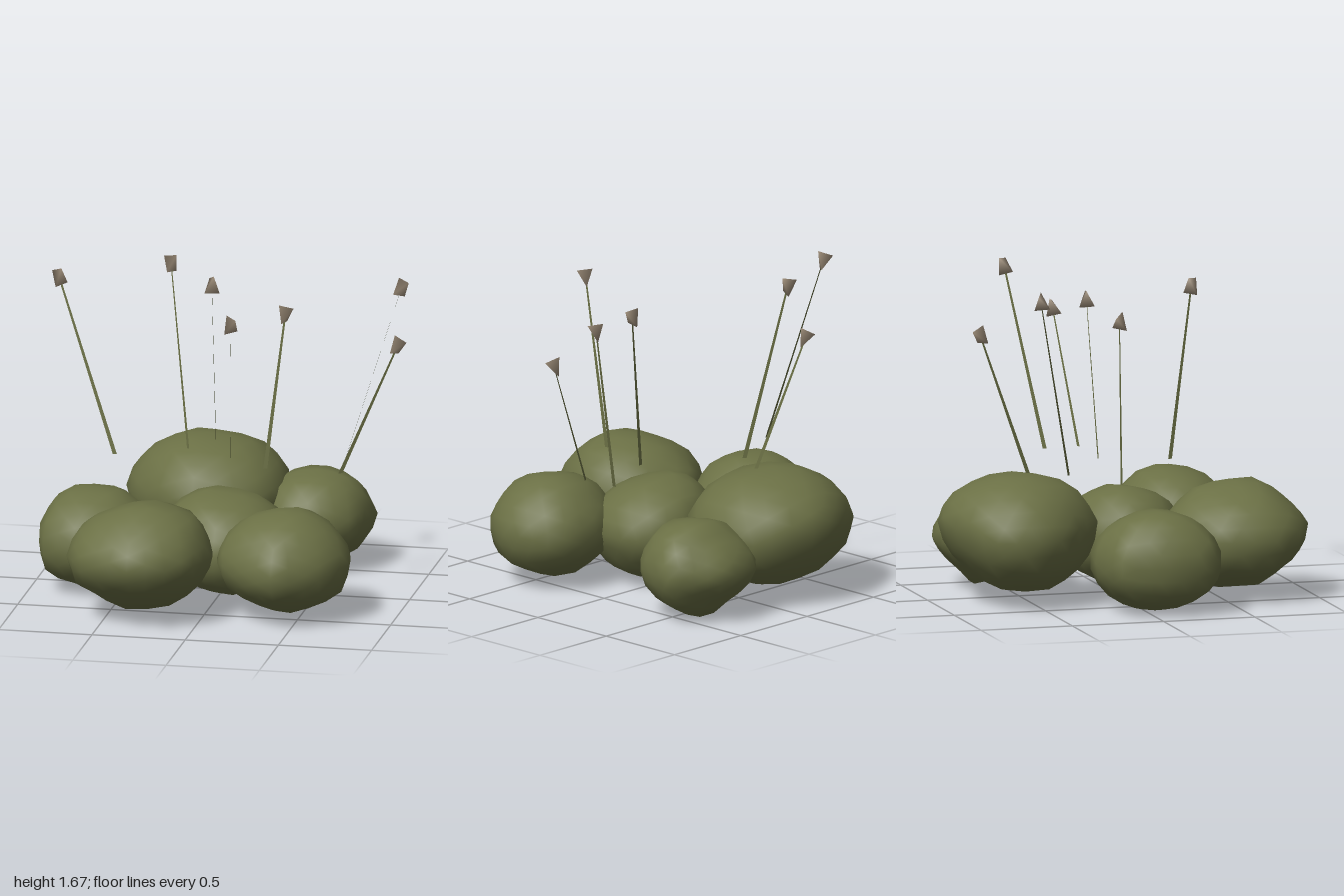
import * as THREE from 'three';
import { mergeVertices } from 'three/addons/utils/BufferGeometryUtils.js';

const moss = new THREE.MeshStandardMaterial({ color: 0x6b7045 });
const stalkGreen = new THREE.MeshStandardMaterial({ color: 0x6b7045, side: THREE.DoubleSide });
const budTan = new THREE.MeshStandardMaterial({ color: 0x9c8c78 });

// Cushion outlines: plan is (x, z), front is (x, y), side is (z, y)
const backCushion = {
  plan: [[-0.12, -1], [0.2, -0.86], [0.25, -0.62], [0.22, -0.38], [0.12, -0.2],
    [-0.28, -0.12], [-0.53, -0.4], [-0.65, -0.6], [-0.56, -0.82]],
  front: [[-0.65, 0.42], [-0.51, 0.6], [-0.29, 0.71], [0.05, 0.67], [0.2, 0.53],
    [0.25, 0.42], [0.2, 0.2], [-0.05, 0.07], [-0.4, 0.08], [-0.6, 0.22]],
  side: [[-0.14, 0.44], [-0.23, 0.58], [-0.34, 0.66], [-0.6, 0.71], [-0.86, 0.635],
    [-1, 0.48], [-0.88, 0.28], [-0.72, 0.1], [-0.45, 0.07], [-0.22, 0.2]],
};
const backLeftCushion = {
  plan: [[0.19, -0.85], [0.44, -0.87], [0.7, -0.65], [0.63, -0.39], [0.44, -0.25],
    [0.22, -0.28], [0.1, -0.45], [0.08, -0.68]],
  side: [[-0.24, 0.33], [-0.39, 0.5], [-0.63, 0.545], [-0.77, 0.41], [-0.86, 0.28],
    [-0.65, 0.02], [-0.45, 0.06], [-0.26, 0.16]],
};
const rightCushion = {
  plan: [[-0.32, 0], [-0.4, 0.24], [-0.6, 0.39], [-0.76, 0.4], [-0.94, 0.31],
    [-0.97, 0.07], [-0.9, -0.2], [-0.57, -0.29]],
  front: [[-0.97, 0.36], [-0.89, 0.49], [-0.78, 0.55], [-0.55, 0.54], [-0.36, 0.4],
    [-0.32, 0.25], [-0.45, 0.07], [-0.6, 0], [-0.82, 0.04], [-0.955, 0.13]],
};
const middleCushion = {
  plan: [[-0.33, 0.07], [-0.23, -0.12], [0.14, -0.25], [0.31, -0.17], [0.39, -0.05],
    [0.37, 0.12], [0.3, 0.33], [0.06, 0.44], [-0.22, 0.28]],
  front: [[-0.33, 0.32], [-0.25, 0.5], [-0.08, 0.59], [0.18, 0.54], [0.35, 0.42],
    [0.39, 0.3], [0.28, 0.1], [0.1, 0.02], [-0.08, 0.06], [-0.28, 0.17]],
  side: [[0.44, 0.3], [0.3, 0.5], [0.01, 0.59], [-0.19, 0.49], [-0.25, 0.28],
    [-0.19, 0.13], [0.05, 0.01], [0.25, 0.04], [0.4, 0.15]],
};
const frontRightCushion = {
  plan: [[-0.39, 0.18], [-0.02, 0.3], [0.07, 0.58], [-0.02, 0.85], [-0.22, 1],
    [-0.42, 0.96], [-0.6, 0.87], [-0.71, 0.7], [-0.68, 0.42]],
  front: [[-0.71, 0.36], [-0.61, 0.52], [-0.28, 0.64], [-0.03, 0.565], [0.03, 0.45],
    [0.065, 0.32], [-0.03, 0.165], [-0.15, 0.09], [-0.38, 0.06], [-0.67, 0.19]],
  side: [[1, 0.38], [0.73, 0.64], [0.4, 0.6], [0.22, 0.45], [0.19, 0.33],
    [0.3, 0.1], [0.5, 0.06], [0.71, 0.07], [0.9, 0.24]],
};
const frontLeftCushion = {
  plan: [[0.15, 0.25], [0.33, 0.14], [0.61, 0.13], [0.75, 0.26], [0.78, 0.47],
    [0.66, 0.67], [0.42, 0.82], [0.1, 0.62], [0.06, 0.44]],
  front: [[0.06, 0.32], [0.1, 0.435], [0.215, 0.54], [0.5, 0.6], [0.665, 0.5],
    [0.775, 0.35], [0.73, 0.14], [0.46, 0.035], [0.14, 0.15]],
  side: [[0.82, 0.34], [0.66, 0.53], [0.46, 0.595], [0.31, 0.6], [0.135, 0.375],
    [0.135, 0.21], [0.32, 0.03], [0.62, 0.075], [0.8, 0.22]],
};
const CUSHIONS = {
  backCushion, backLeftCushion, rightCushion, middleCushion, frontRightCushion, frontLeftCushion,
};

// Stalks: base x, z; tip x, y, z; facing of the blade; spin of the bud
const STALKS = [
  [-0.605, -0.115, -0.925, 1.6, -0.22, -0.2, 0.1],
  [-0.25, -0.3, -0.38, 1.63, -0.49, 0.8, 0.35],
  [-0.14, -0.49, -0.22, 1.44, -0.775, 1.45, -0.3],
  [0.11, 0.36, 0.14, 1.59, 0.485, 1.4, 0.0],
  [0.225, 0.0, 0.325, 1.515, -0.035, 0.0, 0.6],
  [0.61, -0.18, 0.89, 1.615, -0.32, 1.5, 0.1],
  [0.63, 0.01, 0.925, 1.375, -0.045, -0.4, 0.35],
];
const STALK_BASE = 0.68;

// Distance from the origin to a polygon along direction d
function reach(polygon, d) {
  const cross = (a, b) => a[0] * b[1] - a[1] * b[0];
  let best = 0;
  polygon.forEach((p, i) => {
    const q = polygon[(i + 1) % polygon.length];
    const edge = [q[0] - p[0], q[1] - p[1]];
    const along = cross(p, d) / cross(d, edge);
    if (along > -1e-6 && along < 1 + 1e-6) best = Math.max(best, cross(p, edge) / cross(d, edge));
  });
  return best;
}

// Softly shaded mesh from a polyhedron with its corners joined
function softMesh(name, geo, material) {
  geo.deleteAttribute('normal');
  geo.deleteAttribute('uv');
  const joined = mergeVertices(geo, 1e-4);
  joined.computeVertexNormals();
  const mesh = new THREE.Mesh(joined, material);
  mesh.name = name;
  return mesh;
}

// Ball whose radius follows the outlines near each of their planes
function cushion(name, { plan, front, side }) {
  const span = (outline, k) => {
    const values = outline.map((p) => p[k]);
    const lo = Math.min(...values), hi = Math.max(...values);
    return [(lo + hi) / 2, (hi - lo) / 2];
  };
  const spans = [span(plan, 0), span(front ?? side, 1), span(plan, 1)];
  const planes = [[plan, 0, 2, 1], [front, 0, 1, 2], [side, 2, 1, 0]]
    .filter(([outline]) => outline)
    .map(([outline, u, v, axis]) => ({
      u, v, axis,
      polygon: outline.map(([a, b]) => [(a - spans[u][0]) / spans[u][1], (b - spans[v][0]) / spans[v][1]]),
    }));

  const geo = new THREE.IcosahedronGeometry(1, 3);
  const pos = geo.attributes.position;
  for (let i = 0; i < pos.count; i++) {
    const n = [pos.getX(i), pos.getY(i), pos.getZ(i)];
    const rest = 0.96;
    let pull = 0, total = 0;
    for (const { u, v, axis, polygon } of planes) {
      const flat = Math.hypot(n[u], n[v]);
      if (flat < 1e-3) continue;
      const weight = (1 - n[axis] ** 2) ** 2;
      pull += weight * (reach(polygon, [n[u] / flat, n[v] / flat]) - rest);
      total += weight;
    }
    const radius = rest + pull / Math.max(1, total);
    pos.setXYZ(i, ...n.map((c, k) => spans[k][0] + c * radius * spans[k][1]));
  }
  return softMesh(name, geo, moss);
}

// Flat tapering blade with a small four-faced bud at its tip
function stalk([bx, bz, tx, ty, tz, facing, spin]) {
  const group = new THREE.Group();
  group.name = 'buddedStalk';
  const base = new THREE.Vector3(bx, STALK_BASE, bz);
  const tip = new THREE.Vector3(tx, ty, tz);
  const across = new THREE.Vector3(Math.cos(facing), 0, Math.sin(facing));

  const corner = (p, w) => p.clone().addScaledVector(across, w);
  const blade = new THREE.BufferGeometry().setFromPoints([
    corner(base, -0.011), corner(base, 0.011), corner(tip, 0.005), corner(tip, -0.005),
  ]);
  blade.setIndex([0, 1, 2, 0, 2, 3]);
  blade.computeVertexNormals();
  const stem = new THREE.Mesh(blade, stalkGreen);
  stem.name = 'stem';

  const budGeo = new THREE.TetrahedronGeometry(0.051).rotateY(spin).scale(1, 1.45, 1);
  const bud = softMesh('bud', budGeo, budTan);
  bud.position.copy(tip);
  bud.quaternion.setFromUnitVectors(new THREE.Vector3(0, 1, 0), tip.clone().sub(base).normalize());

  group.add(stem, bud);
  return group;
}

export function createModel() {
  const model = new THREE.Group();
  model.name = 'mossClump';
  for (const [name, outlines] of Object.entries(CUSHIONS)) model.add(cushion(name, outlines));
  for (const s of STALKS) model.add(stalk(s));
  return model;
}
